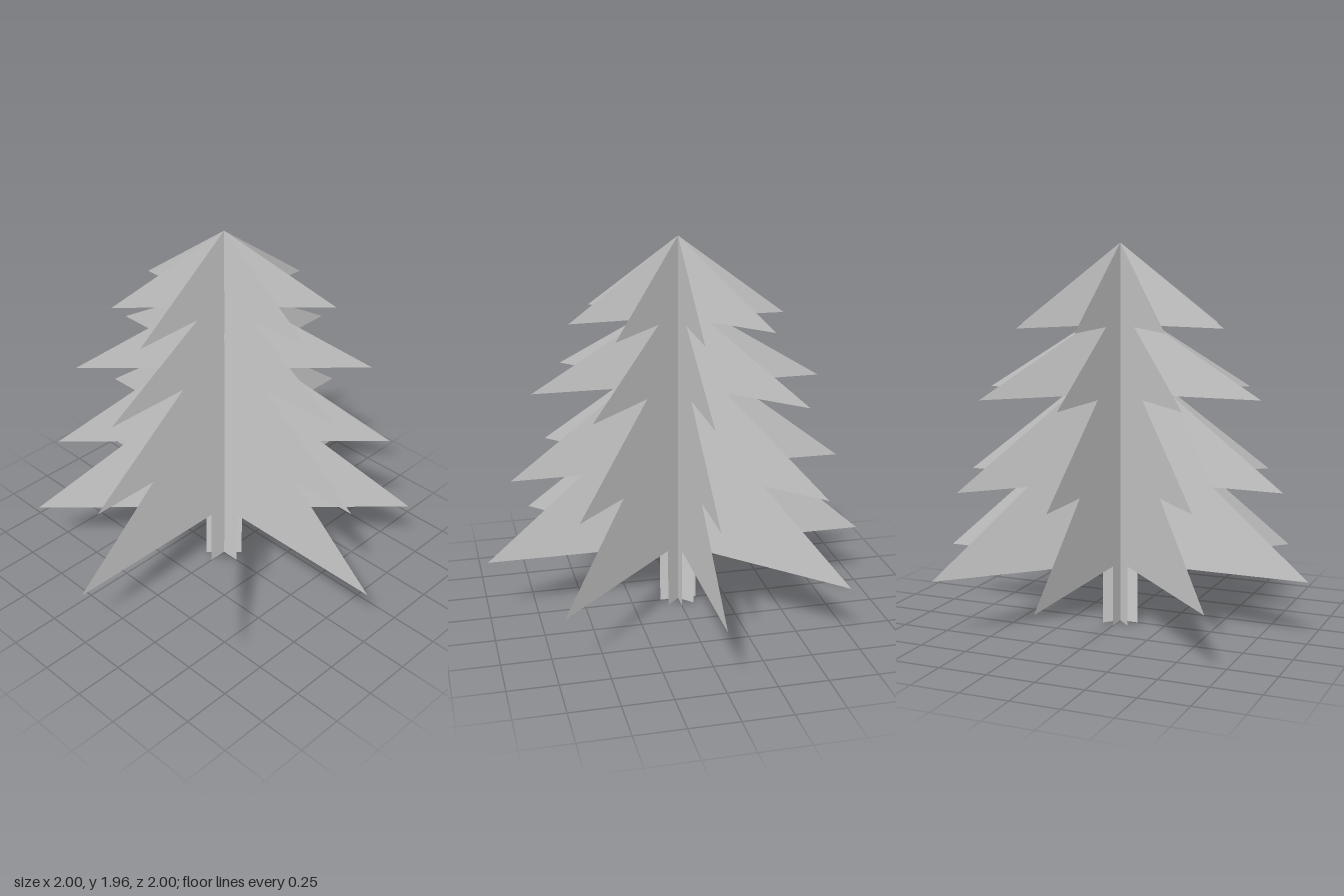
import * as THREE from 'three';

// Right half of the tree outline, from the trunk foot up to the tip
const halfOutline = [
  [0.097, 0], [0.097, 0.315],
  [1.0, 0.315], [0.5, 0.752],
  [0.865, 0.75], [0.283, 1.2],
  [0.745, 1.202], [0.18, 1.55],
  [0.55, 1.546],
];

export function createModel() {
  const tree = new THREE.Group();
  tree.name = 'crossedPlaneTree';

  const material = new THREE.MeshStandardMaterial({ color: 0xcccccc, side: THREE.DoubleSide });

  // Flat symmetric silhouette: right half, tip, mirrored left half
  const outline = [
    ...halfOutline,
    [0, 1.96],
    ...halfOutline.map(([x, y]) => [-x, y]).reverse(),
  ].map(([x, y]) => new THREE.Vector2(x, y));
  const geometry = new THREE.ShapeGeometry(new THREE.Shape(outline));

  // Four sheets crossing on the trunk axis, 45 degrees apart
  for (let i = 0; i < 4; i++) {
    const sheet = new THREE.Mesh(geometry, material);
    sheet.name = `treeSheet${i + 1}`;
    sheet.rotation.y = (i * Math.PI) / 4;
    tree.add(sheet);
  }
  return tree;
}
